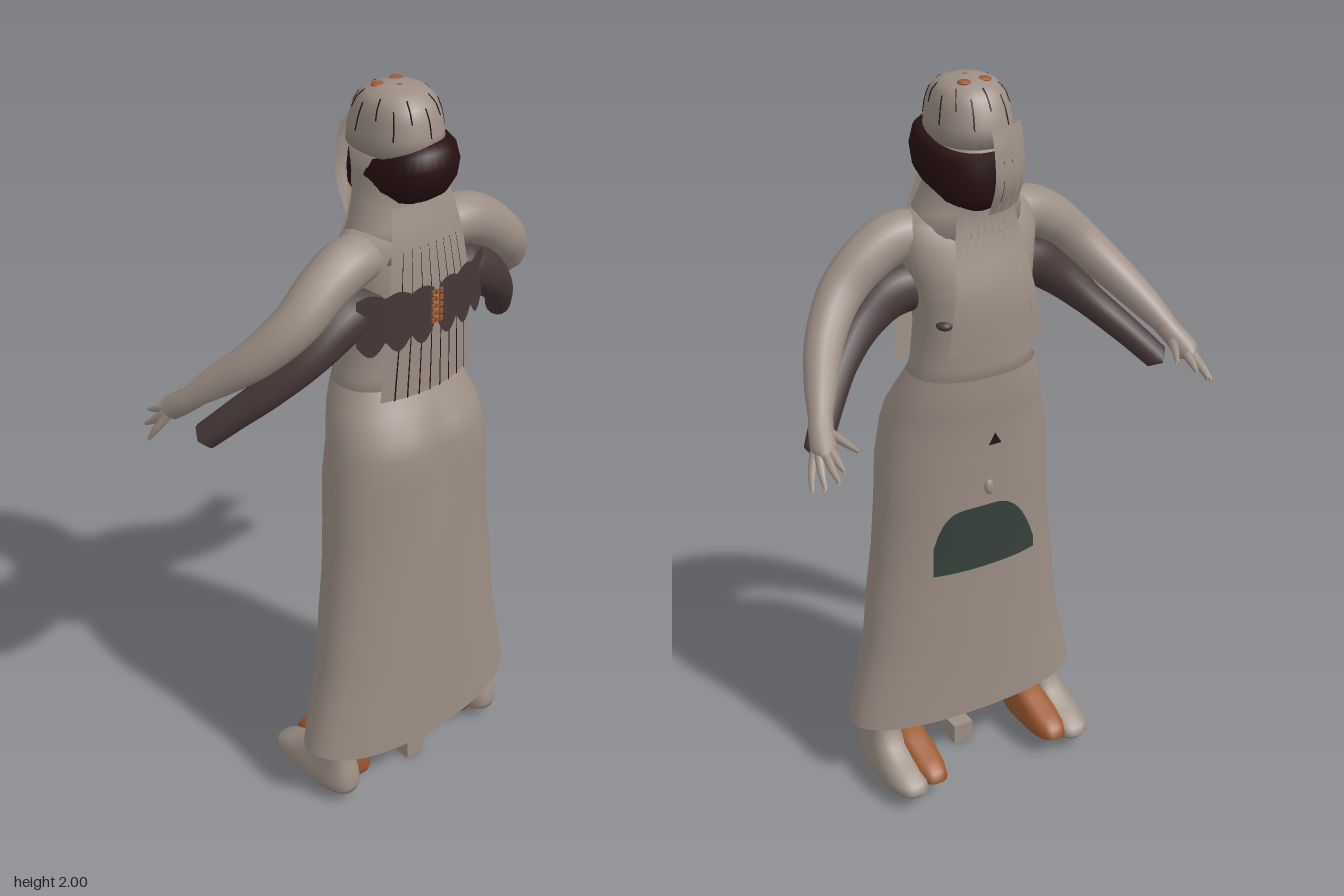
import * as THREE from 'three';

const flat = (name, color) => {
  const m = new THREE.MeshStandardMaterial({ color, side: THREE.DoubleSide });
  m.name = name;
  return m;
};

// Superellipse ring point; row = [y, halfWidth, zBack, zFront], cx = centre x
function ringPoint([y, hw, z0, z1], a, cx = 0, p = 0.9) {
  const c = Math.cos(a), s = Math.sin(a);
  return new THREE.Vector3(cx + hw * Math.sign(c) * Math.abs(c) ** p, y,
    (z0 + z1) / 2 + ((z1 - z0) / 2) * Math.sign(s) * Math.abs(s) ** p);
}

// Stacked rings from bottom to top, with an optional rule that moves each point
function loft(rows, { cx = 0, p = 0.9, caps = true, rule = null, n = 40 } = {}) {
  const pos = [], idx = [];
  for (const row of rows) for (let j = 0; j < n; j++) {
    const v = ringPoint(row, (j / n) * Math.PI * 2, cx, p);
    if (rule) rule(v);
    pos.push(v.x, v.y, v.z);
  }
  for (let i = 0; i < rows.length - 1; i++) for (let j = 0; j < n; j++) {
    const a = i * n + j, b = i * n + (j + 1) % n;
    idx.push(a, a + n, b, b, a + n, b + n);
  }
  if (caps) for (const i of [0, rows.length - 1]) {
    const c = pos.length / 3, m = new THREE.Vector3();
    for (let j = 0; j < n; j++) m.add(new THREE.Vector3().fromArray(pos, (i * n + j) * 3));
    pos.push(...m.divideScalar(n).toArray());
    for (let j = 0; j < n; j++) {
      const a = i * n + j, b = i * n + (j + 1) % n;
      idx.push(...(i === 0 ? [c, a, b] : [c, b, a]));
    }
  }
  const g = new THREE.BufferGeometry();
  g.setAttribute('position', new THREE.Float32BufferAttribute(pos, 3));
  g.setIndex(idx);
  g.computeVertexNormals();
  return g;
}

// Tapered tube; each point = [x, y, z, radius]
function limb(pts, seg = 24, sides = 14) {
  const curve = new THREE.CatmullRomCurve3(pts.map(q => new THREE.Vector3(q[0], q[1], q[2])));
  const g = new THREE.TubeGeometry(curve, seg, 1, sides);
  const at = g.attributes.position, v = new THREE.Vector3();
  for (let k = 0; k < at.count; k++) {
    const u = Math.floor(k / (sides + 1)) / seg, c = curve.getPointAt(u);
    const t = curve.getUtoTmapping(u) * (pts.length - 1);
    const i = Math.min(Math.floor(t), pts.length - 2);
    const r = THREE.MathUtils.lerp(pts[i][3], pts[i + 1][3], t - i);
    v.fromBufferAttribute(at, k).sub(c).multiplyScalar(r).add(c);
    at.setXYZ(k, v.x, v.y, v.z);
  }
  return g;
}

// Thin sheet: rule maps (u in -0.5..0.5, t in 0..1 from bottom) to [x, y, z]
function sheet(nu, nt, rule) {
  const g = new THREE.PlaneGeometry(1, 1, nu, nt), at = g.attributes.position;
  for (let k = 0; k < at.count; k++) at.setXYZ(k, ...rule(at.getX(k), at.getY(k) + 0.5));
  g.computeVertexNormals();
  return g;
}

// Flat strand hanging along path points [y, z], fanning from x0 to x1
function strand(path, x0, x1, w0, w1, bow) {
  const curve = new THREE.CatmullRomCurve3(path.map(([y, z]) => new THREE.Vector3(0, y, z)));
  return sheet(2, 14, (u, up) => {
    const t = 1 - up, c = curve.getPoint(t);
    const x = THREE.MathUtils.lerp(x0, x1, t) + u * THREE.MathUtils.lerp(w0, w1, t);
    return [x, c.y, c.z - bow * x * x];
  });
}

export function createModel() {
  const stone = flat('warm grey', 0x9c8e84), plum = flat('dark plum', 0x473738);
  const maroon = flat('deep maroon', 0x270f11), orange = flat('burnt orange', 0x9c5a32);
  const green = flat('dark green', 0x37413c);
  const model = new THREE.Group();
  model.name = 'robedFigure';
  const add = (name, geo, mat) => {
    const m = new THREE.Mesh(geo, mat);
    m.name = name;
    model.add(m);
    return m;
  };

  // Long skirt with a hem that dips at the front
  const skirt = [
    [0.19, 0.35, -0.012, 0.245], [0.28, 0.333, -0.012, 0.245], [0.36, 0.314, -0.014, 0.246],
    [0.44, 0.297, -0.016, 0.247], [0.6, 0.28, -0.02, 0.247], [0.72, 0.263, -0.024, 0.247],
    [0.86, 0.252, -0.032, 0.248], [1.0, 0.245, -0.04, 0.25], [1.09, 0.226, -0.046, 0.254],
    [1.14, 0.216, -0.052, 0.236], [1.19, 0.2, -0.058, 0.203], [1.25, 0.174, -0.06, 0.168]];
  add('skirt', loft(skirt, { caps: false, n: 56, rule: v => {
    if (v.y < 0.2 && v.z > 0.11) v.y -= 0.035 * ((v.z - 0.11) / 0.135) ** 2;
    if (v.y > 0.95 && v.y < 1.17 && v.z > 0.2) v.z -= 0.014 * Math.exp(-((v.x / 0.04) ** 2));
  } }), stone);

  // Torso and hair mantle over neck and shoulders
  add('torso', loft([
    [1.2, 0.185, -0.056, 0.172], [1.28, 0.165, -0.058, 0.162], [1.38, 0.155, -0.062, 0.16],
    [1.45, 0.16, -0.066, 0.165], [1.52, 0.172, -0.055, 0.17], [1.6, 0.19, -0.03, 0.17],
    [1.65, 0.18, 0, 0.165], [1.68, 0.14, 0.02, 0.15]]), stone);
  add('hairMantle', loft([
    [1.6, 0.17, -0.025, 0.175], [1.68, 0.142, -0.01, 0.165], [1.74, 0.115, -0.02, 0.155],
    [1.8, 0.105, -0.04, 0.16], [1.88, 0.1, -0.055, 0.175]]), stone);

  // Head wrap, higher at +z and lower at -z
  add('headWrap', loft([
    [1.715, 0.06, -0.03, 0.15], [1.735, 0.092, -0.055, 0.19], [1.77, 0.112, -0.068, 0.212],
    [1.81, 0.117, -0.068, 0.218], [1.85, 0.112, -0.064, 0.205], [1.87, 0.1, -0.058, 0.185]],
  { cx: 0.012, rule: v => { v.y += (v.z - 0.1) * 0.2; } }), maroon);

  // Hair cap with short parting lines
  const cap = [
    [1.855, 0.102, -0.066, 0.188], [1.9, 0.1, -0.06, 0.184], [1.94, 0.093, -0.047, 0.176],
    [1.968, 0.085, -0.03, 0.162], [1.986, 0.071, -0.008, 0.142], [1.996, 0.048, 0.02, 0.115],
    [2.0, 0.015, 0.05, 0.08]];
  add('hairCap', loft(cap), stone);
  for (let k = 0; k < 14; k++) {
    const a = ((k + 0.5) / 14) * Math.PI * 2, i = k % 2 ? 1 : 2;
    const curve = new THREE.CatmullRomCurve3(cap.slice(i, i + 3).map(r => ringPoint(r, a)));
    add('hairParting', new THREE.TubeGeometry(curve, 8, 0.0018, 5), maroon);
  }
  for (const [x, z, r] of [[-0.028, 0.032, 0.018], [0.028, 0.032, 0.018], [0, 0.075, 0.007]]) {
    const spot = add('crownSpot', new THREE.SphereGeometry(r, 12, 8), orange);
    spot.position.set(x, z > 0.05 ? 1.999 : 1.994, z);
    spot.scale.y = 0.35;
  }

  // Hair falling over the -z side of the head
  for (const x of [-0.084, -0.058, -0.032, -0.006])
    add('faceStrand', strand([[1.9, -0.062], [1.84, -0.076], [1.76, -0.078], [1.68, -0.045]], x, x * 1.05, 0.027, 0.025, -4), stone);

  // Long strands on both sides of the body
  const rear = [[1.74, 0.165], [1.64, 0.19], [1.5, 0.203], [1.24, 0.2]];
  const fore = [[1.76, -0.04], [1.68, -0.028], [1.6, -0.042], [1.5, -0.07], [1.43, -0.078], [1.33, -0.078]];
  for (let i = -4; i <= 4; i++) {
    add('rearStrand', strand(rear, i * 0.021, i * 0.034 + 0.008, 0.021, 0.034, 1.4), stone);
    add('foreStrand', strand(fore, i * 0.015, i * 0.031 - 0.01, 0.0145, 0.03, -1.2), stone);
    if (i < 4) {
      const lift = rear.slice(1).map(([y, z]) => [y, z + 0.003]);
      add('strandShadowLine', strand(lift, i * 0.024 + 0.012, i * 0.034 + 0.025, 0.001, 0.004, 1.4), maroon);
    }
  }

  // Centre lacing between the bodice halves
  for (let i = 0; i < 15; i++)
    add('lacing', new THREE.BoxGeometry(0.009, 0.012, 0.006), orange)
      .position.set((i % 3 - 1) * 0.013, 1.44 + Math.floor(i / 3) * 0.019, 0.213);

  for (const s of [-1, 1]) {
    const side = s > 0 ? 'left' : 'right';
    const mir = pts => pts.map(([x, y, z, r]) => [x * s, y, z, r]);

    // Scalloped bodice, under sleeve and a small spot below the armpit
    add(side + 'Bodice', sheet(40, 6, (u, t) => {
      const w = u + 0.5, x = 0.008 + 0.2 * w, wave = Math.abs(Math.sin(Math.PI * 3 * w));
      const low = 1.425 - 0.035 * wave - 0.01 * w, high = 1.53 + 0.012 * wave + 0.008 * w;
      return [x * s, THREE.MathUtils.lerp(low, high, t), 0.211 - 1.3 * x * x];
    }), plum);
    add(side + 'UnderSleeve', limb(mir([[0.11, 1.48, 0.09, 0.065], [0.2, 1.475, 0.1, 0.07],
      [0.29, 1.41, 0.092, 0.055], [0.37, 1.33, 0.052, 0.042], [0.45, 1.245, -0.018, 0.037],
      [0.508, 1.178, -0.075, 0.034], [0.515, 1.17, -0.082, 0.002]])), plum);
    const spot = add(side + 'SideSpot', new THREE.SphereGeometry(0.022, 14, 10), plum);
    spot.position.set(0.118 * s, 1.405, -0.022);
    spot.scale.set(1, 0.6, 1);

    // Arm and hand
    add(side + 'Arm', limb(mir([[0.06, 1.6, 0.085, 0.05], [0.18, 1.612, 0.1, 0.067],
      [0.26, 1.575, 0.102, 0.064], [0.345, 1.5, 0.092, 0.058], [0.42, 1.415, 0.035, 0.05],
      [0.474, 1.34, -0.045, 0.041], [0.508, 1.285, -0.105, 0.029]])), stone);
    add(side + 'Palm', limb(mir([[0.5, 1.295, -0.09, 0.03], [0.517, 1.265, -0.125, 0.031],
      [0.53, 1.235, -0.165, 0.033], [0.537, 1.22, -0.185, 0.004]]), 12), stone);
    for (const [a, b, c] of [
      [[0.505, 1.265, -0.125], [0.483, 1.25, -0.175], [0.462, 1.235, -0.215]],
      [[0.517, 1.24, -0.165], [0.516, 1.22, -0.205], [0.512, 1.205, -0.235]],
      [[0.53, 1.235, -0.165], [0.535, 1.21, -0.215], [0.535, 1.19, -0.253]],
      [[0.542, 1.23, -0.16], [0.555, 1.195, -0.2], [0.562, 1.17, -0.232]],
      [[0.548, 1.23, -0.15], [0.57, 1.185, -0.175], [0.58, 1.15, -0.195]]])
      add(side + 'Finger', limb(mir([[...a, 0.013], [...b, 0.0105], [...c, 0.005]]), 8, 8), stone);

    // Outer shoe with ankle, inner slipper with ankle
    add(side + 'Shoe', loft([[0.04, 0.052, -0.1, 0.188], [0.055, 0.06, -0.112, 0.192],
      [0.075, 0.06, -0.1, 0.192], [0.1, 0.055, -0.05, 0.188], [0.13, 0.047, 0.02, 0.178],
      [0.17, 0.042, 0.055, 0.17], [0.27, 0.042, 0.055, 0.17]], { cx: 0.262 * s, p: 0.75 }), stone);
    add(side + 'Slipper', loft([[0.05, 0.042, -0.085, 0.16], [0.065, 0.049, -0.105, 0.165],
      [0.09, 0.048, -0.092, 0.165], [0.11, 0.046, -0.055, 0.165], [0.135, 0.042, 0.015, 0.16],
      [0.155, 0.036, 0.045, 0.155]], { cx: 0.195 * s, p: 0.7 }), orange);
    add(side + 'InnerAnkle', loft([[0.14, 0.031, 0.055, 0.145], [0.27, 0.033, 0.055, 0.15]], { cx: 0.2 * s }), stone);
  }

  // Curved green patch lying on the -z side of the skirt
  add('greenPatch', sheet(28, 6, (u, t) => {
    const w = u * 2, x = 0.157 * w - 0.004;
    const fall = w > 0 ? 0.55 * w ** 6 : 0.85 * Math.abs(w) ** 2.6;
    const y = 0.672 + t * 0.195 * (1 - fall);
    const i = y < 0.72 ? 4 : y < 0.86 ? 5 : 6, f = (y - skirt[i][0]) / (skirt[i + 1][0] - skirt[i][0]);
    const [, hw, z0, z1] = skirt[i].map((q, c) => THREE.MathUtils.lerp(q, skirt[i + 1][c], f));
    const bulge = (1 - (Math.abs(x) / hw) ** (2 / 0.9)) ** 0.45;
    return [x, y, (z0 + z1) / 2 - ((z1 - z0) / 2) * bulge - 0.006];
  }), green);

  // Small skirt ornaments
  const mark = add('darkMark', new THREE.CircleGeometry(0.022, 3, Math.PI / 2), maroon);
  mark.position.set(-0.012, 1.06, -0.05);
  const drop = add('dropOrnament', new THREE.SphereGeometry(0.013, 12, 10), stone);
  drop.scale.set(1, 1.7, 0.8);
  drop.position.set(0, 0.92, -0.04);

  // Small block on the ground
  add('groundBlock', new THREE.BoxGeometry(0.06, 0.06, 0.06), stone).position.set(0, 0.03, 0.13);
  return model;
}
